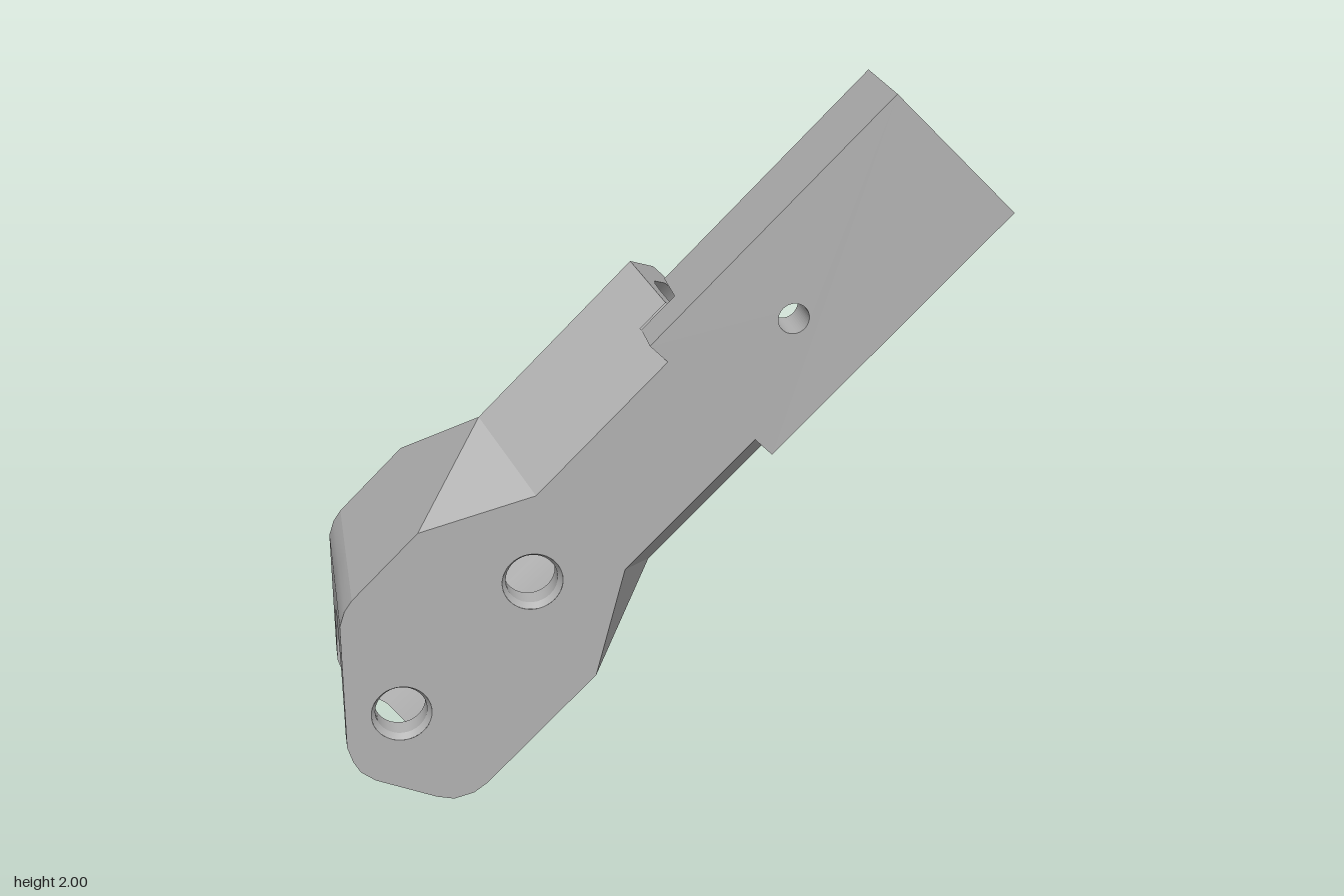
import * as THREE from 'three';
import { toCreasedNormals } from 'three/addons/utils/BufferGeometryUtils.js';

// Local frame: x runs along the arm, y across it, z through its thickness.
const H = 0.343, K = 0.173, D = 0.3;      // ridge half height, side half height, half depth
const U0 = 0.095, U1 = 0.385, SLEEVE = 1; // taper start, taper end, sleeve mouth
const PLATE = 0.9, TIP = 1.83, B = 0.242, Z0 = 0.02, Z1 = 0.17;
const BOLTS = [-0.343, 0.191];

// rounded lower end: [across, along]
const END = [[0.343, -0.17], [0.3355, -0.209], [0.314, -0.251], [0.045, -0.52], [0, -0.544],
  [-0.039, -0.555], [-0.089, -0.548], [-0.261, -0.479], [-0.3045, -0.4525], [-0.335, -0.402], [-0.343, -0.354]];
// tunnel cross-section, one quarter: [across, half width]
const TUNNEL = [[0.243, 0], [0.235, 0.04], [0.155, 0.18], [0.085, 0.22]];

// linear lookup in a list sorted by descending key
function lookup(list, k) {
  for (let i = 0; i < list.length - 1; i++) {
    const [a, va] = list[i], [b, vb] = list[i + 1];
    if (k <= a + 1e-9 && k >= b - 1e-9) return va + (vb - va) * (a - k) / (a - b);
  }
  return 0;
}
const endAt = b => lookup(END, b);
const tunnelAt = b => Math.abs(b) <= 0.085 ? 0.22 : lookup(TUNNEL, Math.abs(b));
const rows = [...new Set([...END.map(p => p[0]), ...TUNNEL.flatMap(p => [p[0], -p[0]])])].sort((a, b) => b - a);

// polygons (fans of corners) to a geometry
function faces(polys) {
  const pos = [];
  for (const p of polys)
    for (let i = 1; i < p.length - 1; i++) pos.push(...p[0], ...p[i], ...p[i + 1]);
  const g = new THREE.BufferGeometry();
  g.setAttribute('position', new THREE.Float32BufferAttribute(pos, 3));
  g.computeVertexNormals();
  return toCreasedNormals(g, 0.65);
}

function outline(points, holes = [], r = 0) {
  const s = new THREE.Shape(points.map(p => new THREE.Vector2(p[0], p[1])));
  for (const u of holes) s.holes.push(new THREE.Path().absarc(u, 0, r, 0, Math.PI * 2, true));
  return s;
}

export function createModel() {
  const grey = new THREE.MeshStandardMaterial({ color: 0xb0b0b0, side: THREE.DoubleSide });
  grey.name = 'plain grey';
  const model = new THREE.Group();
  model.name = 'armBracket';
  const arm = new THREE.Group();
  arm.name = 'arm';
  arm.rotation.z = Math.PI / 4;
  arm.position.set(-0.535, 0.535, 0);
  model.add(arm);
  const add = (name, geometry) => {
    const m = new THREE.Mesh(geometry, grey);
    m.name = name;
    arm.add(m);
    return m;
  };

  // rounded lower end, split around the tunnel mouth
  const endWall = [], tunnel = [];
  for (const t of [-1, 1]) {
    for (let i = 0; i < rows.length - 1; i++) {
      const a = rows[i], b = rows[i + 1], ca = tunnelAt(a), cb = tunnelAt(b);
      endWall.push([[endAt(a), a, t * ca], [endAt(a), a, t * D], [endAt(b), b, t * D], [endAt(b), b, t * cb]]);
      // sloping tunnel walls
      if (Math.abs(a + b) / 2 > 0.085 && ca + cb > 0)
        tunnel.push([[endAt(a), a, t * ca], [SLEEVE, a, t * ca], [SLEEVE, b, t * cb], [endAt(b), b, t * cb]]);
    }
  }
  add('lowerEnd', faces(endWall));
  add('tunnelSlopes', faces(tunnel));

  // block edges, taper facets and ridged sleeve
  const shell = [];
  for (const s of [-1, 1]) {
    const u = endAt(s * H);
    shell.push([[u, s * H, -D], [u, s * H, D], [U0, s * H, D], [U1, s * H, 0], [U0, s * H, -D]]);
    for (const t of [-1, 1]) {
      const e = t < 0 ? SLEEVE : PLATE;
      shell.push([[U0, s * H, t * D], [U1, s * H, 0], [U1, s * K, t * D]]);
      shell.push([[U1, s * H, 0], [U1, s * K, t * D], [e, s * K, t * D], [e, s * H, 0]]);
    }
    shell.push([[PLATE, s * H, 0], [PLATE, s * 0.247, Z1], [SLEEVE, s * 0.247, Z1], [SLEEVE, s * H, 0]]);
  }
  const shellGeometry = faces(shell).toNonIndexed ? faces(shell) : null;
  shellGeometry.computeVertexNormals();
  add('shell', shellGeometry);

  // flat sides, tunnel side walls and bolt holes
  const endEdge = END.map(([b, u]) => [u, b]);
  const flatRows = rows.filter(b => Math.abs(b) <= 0.0851).map(b => [endAt(b), b]);
  for (const t of [-1, 1]) {
    const e = t < 0 ? SLEEVE : PLATE;
    const side = outline([...endEdge, [U0, -H], [U1, -K], [e, -K], [e, K], [U1, K], [U0, H]], BOLTS, 0.085);
    add(t < 0 ? 'backSide' : 'frontSide', new THREE.ShapeGeometry(side, 24)).position.z = t * D;
    const inner = outline([...flatRows, [e, -0.085], [e, 0.085]], BOLTS, 0.073);
    add('tunnelSide', new THREE.ShapeGeometry(inner, 24)).position.z = t * 0.22;
    for (const u of BOLTS) {
      const profile = [[0.073, 0.22], [0.073, 0.28], [0.085, D]].map(p => new THREE.Vector2(...p));
      const hole = toCreasedNormals(new THREE.LatheGeometry(profile, 32).rotateX(t * Math.PI / 2), 0.4);
      add('boltHole', hole).position.x = u;
    }
  }

  // sleeve mouth rim, upper and lower halves
  for (const s of [-1, 1]) {
    const rim = [[-D, 0], [-D, K], [0, H], [Z1, 0.247], [Z1, 0.16], [0.04, 0.235], [0, 0.243],
      [-0.04, 0.235], [-0.18, 0.155], [-0.22, 0.085], [-0.22, 0]].map(([z, b]) => [z, s * b]);
    add('sleeveRim', new THREE.ShapeGeometry(outline(rim)).rotateY(-Math.PI / 2)).position.x = SLEEVE;
  }

  // channel blade: plate with a small hole and two flanges
  const plate = outline([[PLATE, -B], [TIP, -B], [TIP, B], [PLATE, B]], [1.216], 0.043);
  add('bladePlate', new THREE.ExtrudeGeometry(plate, { depth: D - Z1, bevelEnabled: false, curveSegments: 24 }))
    .position.z = Z1;
  for (const s of [-1, 1]) {
    add('bladeFlange', new THREE.BoxGeometry(TIP - 1.03, 0.054, Z1 - Z0))
      .position.set((TIP + 1.03) / 2, s * (B - 0.027), (Z0 + Z1) / 2);
  }
  return model;
}
